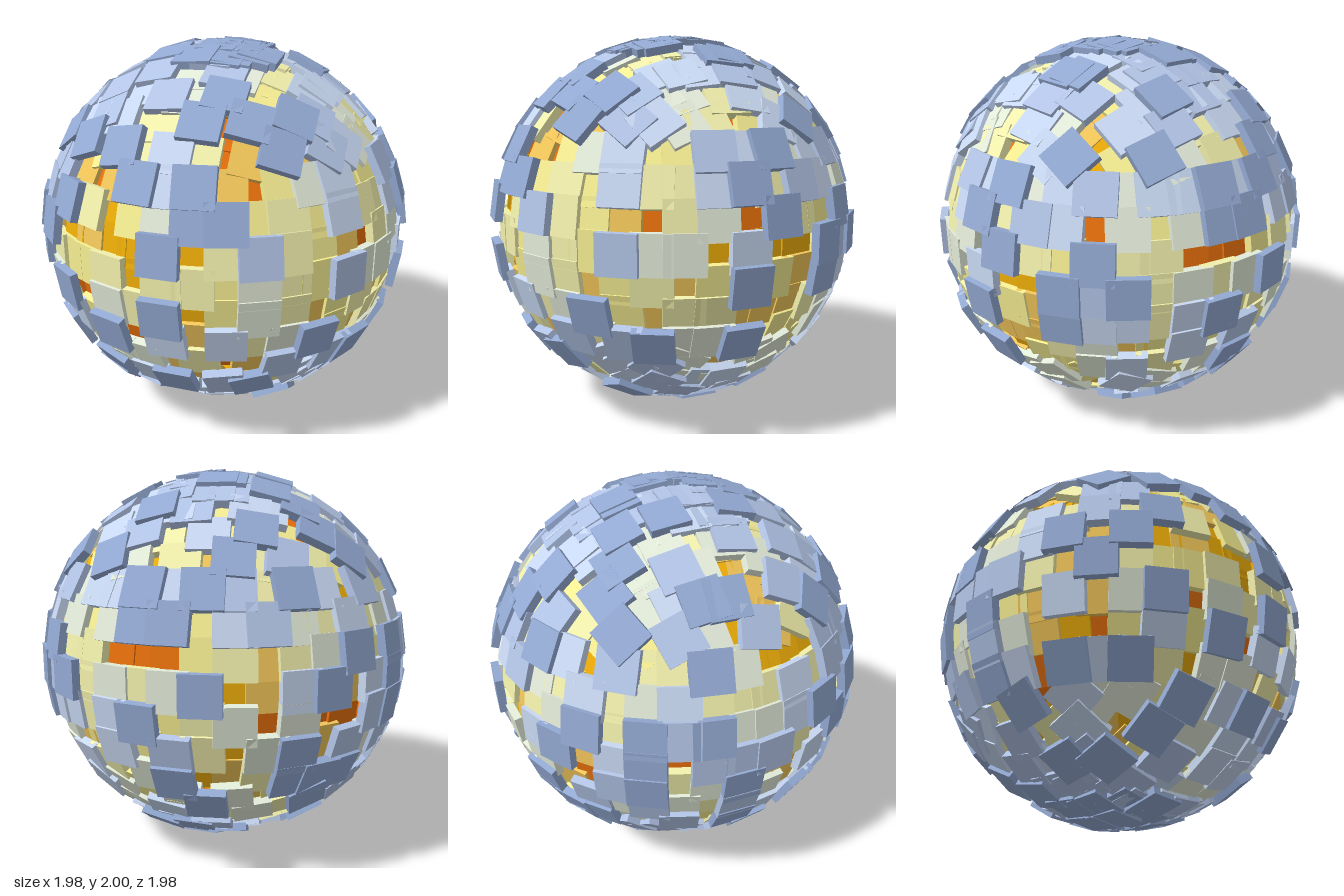
import * as THREE from 'three';
import { mergeGeometries } from 'three/addons/utils/BufferGeometryUtils.js';

const COLS = 40;
const STEP = Math.PI / 20;            // 9 degrees between rows and columns
const SIZE = 0.195, THICK = 0.04;     // square tile
const R_IN = 0.87, R_OUT = 0.972;     // range of tile centre distances

// Tones from the deepest tiles to the outermost ones
const tones = [
  ['deepOrangeTiles', 0xe8700c],
  ['amberTiles', 0xeeae08],
  ['goldTiles', 0xf2c65a],
  ['yellowTiles', 0xf6ee92],
  ['creamTiles', 0xf2f0ac],
  ['paleTiles', 0xe2ead8],
  ['lightBlueTiles', 0xc8d8f2],
  ['softBlueTiles', 0xb2c4e6],
  ['blueTiles', 0x93a9d2],
];

// Tiles that stand proud: row, then columns counted from the front toward +x
const proud = {
  '-4': [0, 3, 37],
  '-3': [10, 33],
  '-2': [5, 38],
  '-1': [0, 10, 13, 36],
  0: [13, 15, 34],
  1: [0, 14],
  2: [1, 2, 10, 36],
  3: [1, 11, 39],
  4: [4, 13, 16, 21, 26, 34, 36, 38],
  5: [5],
  6: [2, 17],
  8: [27, 35],
  9: [10],
};

// Centres of the hollows where the inner tiles show: row, column
const hollows = [[0, 8], [0, 1], [-3, 12], [0, 38], [3, 3], [2, 38]];

function seeded(seed) {
  return () => {
    seed = (seed + 0x6d2b79f5) | 0;
    let t = Math.imul(seed ^ (seed >>> 15), 1 | seed);
    t = (t + Math.imul(t ^ (t >>> 7), 61 | t)) ^ t;
    return ((t ^ (t >>> 14)) >>> 0) / 4294967296;
  };
}

// How far out a tile sits, from 0 to 1
function tileDepth(row, col, random) {
  const depth = random ** 0.75;
  if (proud[row]?.includes(col)) return 0.9 + 0.09 * depth;
  const inHollow = hollows.some(([r, c]) => {
    const gap = Math.abs(col - c);
    return Math.abs(row - r) <= 1 && Math.min(gap, COLS - gap) <= 1;
  });
  if (inHollow) return 0.62 * depth;
  // Tiles beside a proud one sit lower
  const besideProud = [-1, 1].some((d) => proud[row]?.includes((col + d + COLS) % COLS)
    || proud[row + d]?.includes(col));
  return besideProud ? 0.85 * depth : 0.999 * depth;
}

// A flat square tile facing outward along n
function makeTile(n, radius) {
  const side = new THREE.Vector3();
  if (Math.abs(n.y) > 0.5) side.set(1, 0, 0).addScaledVector(n, -n.x); // caps keep to the x axis
  else side.set(n.z, 0, -n.x);                                         // belt follows the rows
  side.normalize();
  const up = new THREE.Vector3().crossVectors(n, side);
  const matrix = new THREE.Matrix4().makeBasis(side, up, n);
  matrix.setPosition(n.x * radius, 1 + n.y * radius, n.z * radius);
  return new THREE.BoxGeometry(SIZE, SIZE, THICK).applyMatrix4(matrix);
}

export function createModel() {
  const group = new THREE.Group();
  group.name = 'tiledSphere';
  const random = seeded(5);
  const layers = tones.map(() => []);

  // Rows of tiles from near the bottom pole to near the top pole
  for (let row = -9; row <= 9; row++) {
    for (let col = 0; col < COLS; col++) {
      const lat = row * STEP, lon = col * STEP;
      const n = new THREE.Vector3(
        Math.cos(lat) * Math.sin(lon), Math.sin(lat), Math.cos(lat) * Math.cos(lon));
      const depth = tileDepth(row, col, random());
      const radius = R_IN + (R_OUT - R_IN) * depth;
      layers[Math.floor(depth * tones.length)].push(makeTile(n, radius));
    }
  }

  // One mesh for each tone
  tones.forEach(([name, color], i) => {
    const mesh = new THREE.Mesh(
      mergeGeometries(layers[i]), new THREE.MeshStandardMaterial({ color }));
    mesh.name = name;
    group.add(mesh);
  });
  return group;
}
